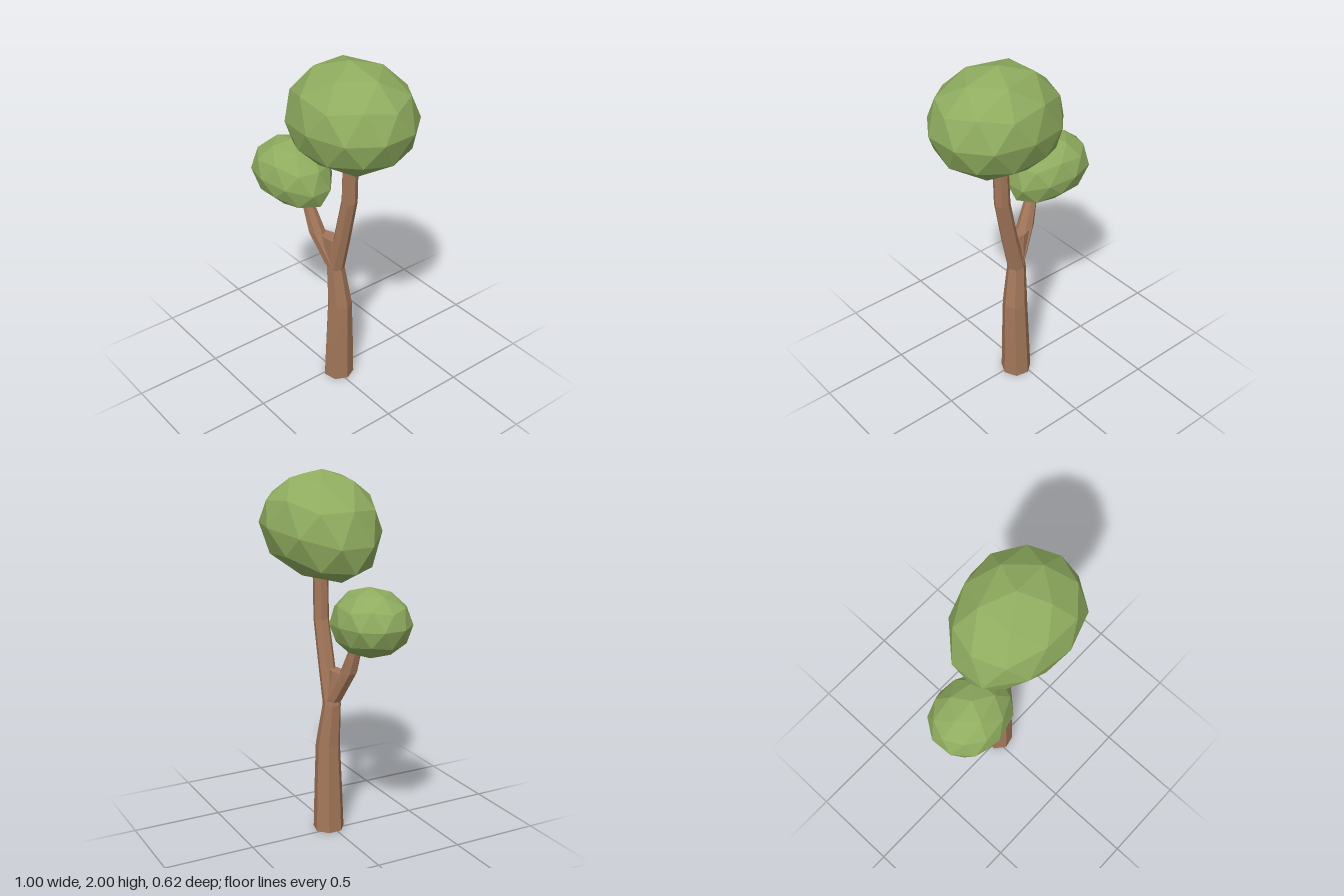
import * as THREE from 'three';

const foliage = new THREE.MeshStandardMaterial({ color: 0x8fac5f, flatShading: true });
foliage.name = 'leaf green';
const bark = new THREE.MeshStandardMaterial({ color: 0xa3775a, flatShading: true });
bark.name = 'bark brown';

// Faceted limb through level rings given as [x, y, z, radiusX, radiusZ]
function limb(name, rings, sides = 7) {
  const pos = [], index = [];
  for (const [x, y, z, rx, rz = rx] of rings) {
    for (let i = 0; i < sides; i++) {
      const a = (i / sides) * Math.PI * 2;
      pos.push(x + Math.cos(a) * rx, y, z + Math.sin(a) * rz);
    }
  }
  for (let r = 0; r < rings.length - 1; r++) {
    for (let i = 0; i < sides; i++) {
      const a = r * sides + i, b = r * sides + (i + 1) % sides;
      index.push(a, a + sides, b, b, a + sides, b + sides);
    }
  }
  // End caps
  const top = (rings.length - 1) * sides;
  for (let i = 1; i < sides - 1; i++) {
    index.push(0, i, i + 1, top, top + i + 1, top + i);
  }
  const indexed = new THREE.BufferGeometry();
  indexed.setAttribute('position', new THREE.Float32BufferAttribute(pos, 3));
  indexed.setIndex(index);
  const geometry = indexed.toNonIndexed();
  geometry.computeVertexNormals();
  const mesh = new THREE.Mesh(geometry, bark);
  mesh.name = name;
  return mesh;
}

// Unit leaf ball, pole up, sagging towards -x
function leafBall() {
  const geometry = new THREE.IcosahedronGeometry(1, 1);
  geometry.rotateZ(-Math.atan(2 / (1 + Math.sqrt(5))));
  const p = geometry.attributes.position;
  for (let i = 0; i < p.count; i++) {
    const x = p.getX(i), y = p.getY(i), z = p.getZ(i);
    const sag = x < 0 ? 0.29 * x * x * (1 - 0.5 * y) : 0;
    p.setXYZ(i, x + 0.1 * z * z, y - sag, z);
  }
  geometry.computeVertexNormals();
  return geometry;
}

function crown(name, geometry, position, scale, turn) {
  const mesh = new THREE.Mesh(geometry, foliage);
  mesh.name = name;
  mesh.position.set(...position);
  mesh.scale.set(...scale);
  mesh.rotation.y = turn;
  return mesh;
}

export function createModel() {
  const tree = new THREE.Group();
  tree.name = 'tree';

  // Trunk bending up into the main crown
  tree.add(limb('trunk', [
    [0.033, 0, -0.015, 0.087],
    [0.037, 0.25, -0.015, 0.079],
    [0.04, 0.5, -0.015, 0.072, 0.068],
    [0.018, 0.74, -0.002, 0.054, 0.05],
    [0.068, 0.94, -0.006, 0.047],
    [0.122, 1.2, -0.012, 0.045, 0.043],
    [0.132, 1.52, -0.01, 0.042],
  ]));

  // Side branch and the fork web between the limbs
  tree.add(limb('sideBranch', [
    [0.012, 0.76, 0.004, 0.048],
    [-0.085, 0.94, 0.045, 0.049, 0.046],
    [-0.138, 1.09, 0.06, 0.034],
    [-0.165, 1.2, 0.066, 0.028],
  ]));
  tree.add(limb('fork', [
    [0.015, 0.76, 0.002, 0.045],
    [-0.005, 0.935, 0.018, 0.08, 0.037],
  ]));

  // Crowns share one shape, the small one turned half round
  const ball = leafBall();
  tree.add(crown('mainCrown', ball, [0.13, 1.71, 0], [0.38, 0.29, 0.31], 0.05));
  tree.add(crown('smallCrown', ball, [-0.255, 1.255, 0.07], [0.25, 0.185, 0.2], Math.PI + 0.05));

  return tree;
}
